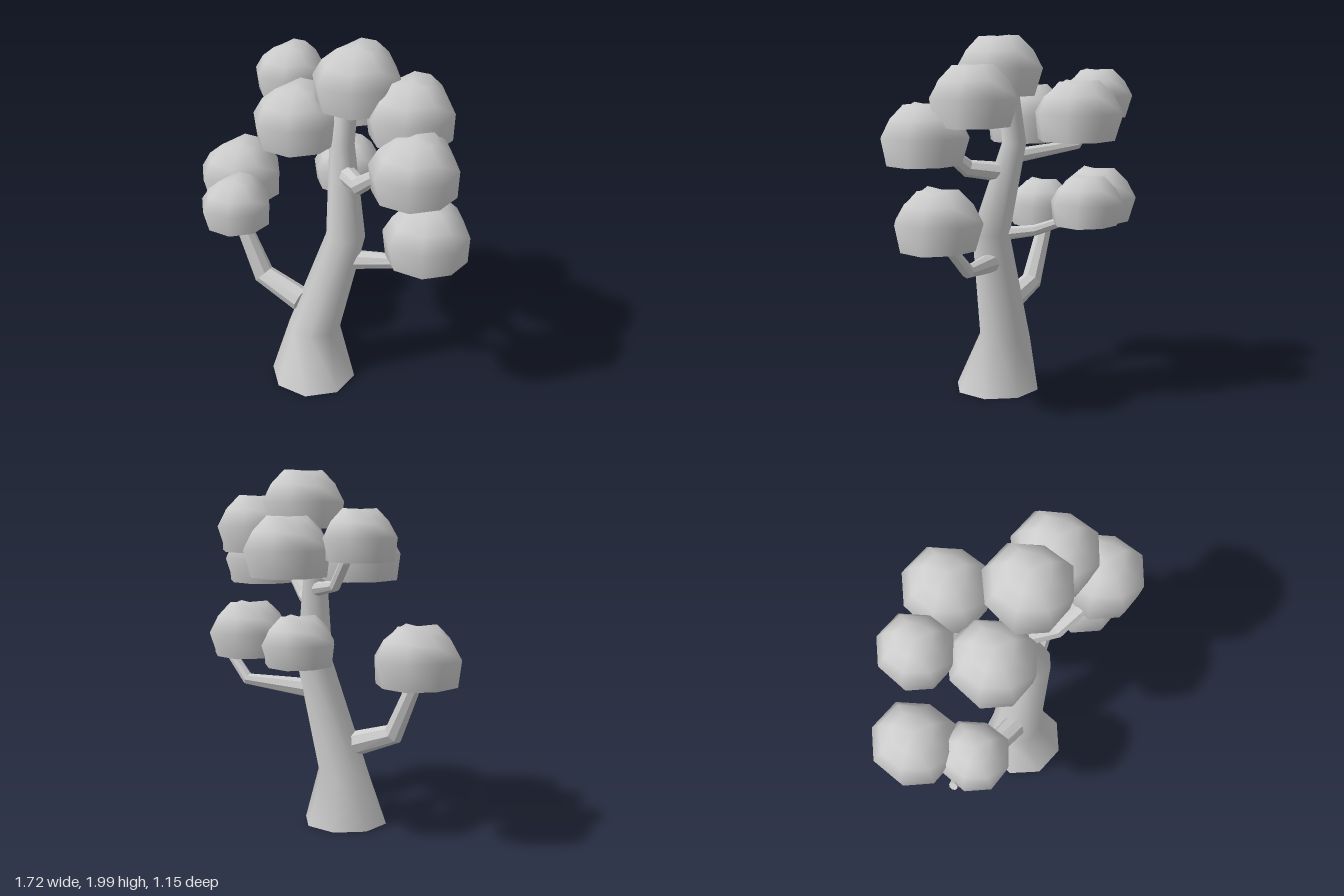
import * as THREE from 'three';

const SIDES = 8;
const V = (p) => new THREE.Vector3(...p);

// Skin a stack of rings; a ring holding a single point closes the end.
function loft(rings) {
  const pos = [], index = [], start = [];
  for (const ring of rings) {
    start.push(pos.length / 3);
    for (const p of ring) pos.push(p.x, p.y, p.z);
  }
  for (let k = 0; k < rings.length - 1; k++) {
    const at = (r, i) => start[r] + (i % rings[r].length);
    for (let i = 0; i < SIDES; i++) {
      const a = at(k, i), b = at(k + 1, i), c = at(k + 1, i + 1), d = at(k, i + 1);
      if (b !== c) index.push(a, b, c);
      if (a !== d) index.push(a, c, d);
    }
  }
  const geo = new THREE.BufferGeometry();
  geo.setAttribute('position', new THREE.Float32BufferAttribute(pos, 3));
  geo.setIndex(index);
  geo.computeVertexNormals();
  return geo;
}

// Horizontal ring with optional per-vertex radius and height variation.
function flatRing(x, y, z, r, vary = () => [1, 0]) {
  return Array.from({ length: SIDES }, (_, i) => {
    const a = (i / SIDES) * Math.PI * 2 + 0.06, [s, dy] = vary(i);
    return new THREE.Vector3(x + Math.cos(a) * r * s, y + dy, z + Math.sin(a) * r * s);
  });
}

// Tapered limb through [x, y, z, radius] stations.
function limb(stations) {
  const pts = stations.map(([x, y, z]) => V([x, y, z]));
  const last = pts.length - 1;
  const run = pts[last].clone().sub(pts[0]);
  const side = new THREE.Vector3(0, 1, 0).cross(run).normalize();
  const rings = pts.map((p, k) => {
    const t = new THREE.Vector3();
    if (k > 0) t.add(p.clone().sub(pts[k - 1]).normalize());
    if (k < last) t.add(pts[k + 1].clone().sub(p).normalize());
    t.normalize();
    const u = side.clone().addScaledVector(t, -side.dot(t)).normalize();
    const v = u.clone().cross(t);
    const r = stations[k][3];
    return Array.from({ length: SIDES }, (_, i) => {
      const a = (i / SIDES) * Math.PI * 2;
      return p.clone().addScaledVector(u, Math.cos(a) * r).addScaledVector(v, Math.sin(a) * r);
    });
  });
  return loft([[pts[0]], ...rings, [pts[last]]]);
}

// Faceted leaf dome, open underneath, with an uneven crown. Unit radius.
function leafDome() {
  const belly = [1, 0.96, 1.04, 0.97, 1, 1.03, 1.05, 0.95];
  const crown = [0.02, -0.1, 0.03, -0.06, -0.1, 0.04, 0.05, -0.05];
  return loft([
    flatRing(0.03, 0, 0, 0.87, (i) => [belly[(i + 3) % SIDES], 0]),
    flatRing(0, 0.6, 0, 1, (i) => [belly[i], 0]),
    flatRing(0, 0.98, 0, 0.79, (i) => [belly[i], crown[i] * 0.4]),
    flatRing(0, 1.27, 0, 0.47, (i) => [belly[i], crown[i]]),
    [new THREE.Vector3(0, 1.29, 0)],
  ]);
}

export function createModel() {
  const tree = new THREE.Group();
  tree.name = 'tree';
  const smooth = new THREE.MeshStandardMaterial({ color: 0xcccccc, side: THREE.DoubleSide });
  const faceted = new THREE.MeshStandardMaterial({ color: 0xcccccc, flatShading: true });
  const add = (name, geo, mat) => {
    const mesh = new THREE.Mesh(geo, mat);
    mesh.name = name;
    tree.add(mesh);
    return mesh;
  };

  // Leaning trunk with a flared foot, open at the base
  add('trunk', loft([
    flatRing(0.06, 0, 0.155, 0.24),
    flatRing(0.03, 0.31, 0.12, 0.147),
    flatRing(0.18, 0.93, 0.02, 0.107),
    flatRing(0.068, 1.42, -0.04, 0.068),
    flatRing(0.115, 1.78, -0.05, 0.052),
    [new THREE.Vector3(0.115, 1.78, -0.05)],
  ]), smooth);

  // Bent branches: x, y, z, radius
  const branches = {
    lowerRightBranch: [[-0.02, 0.47, 0.18, 0.07], [-0.25, 0.56, 0.27, 0.06], [-0.37, 0.85, 0.32, 0.045], [-0.55, 1.0, 0.455, 0.024]],
    lowerLeftBranch: [[0.2, 0.77, -0.01, 0.055], [0.48, 0.8, -0.25, 0.035], [0.6, 0.93, -0.29, 0.03], [0.65, 1.03, -0.29, 0.02]],
    upperLeftBranch: [[0.1, 1.26, -0.03, 0.055], [0.31, 1.29, 0.04, 0.048], [0.46, 1.41, 0.04, 0.035], [0.56, 1.5, 0, 0.025]],
    upperRightBranch: [[0.05, 1.35, -0.04, 0.04], [-0.28, 1.4, -0.13, 0.03], [-0.38, 1.53, -0.13, 0.028], [-0.44, 1.64, -0.1, 0.02]],
    rearBranch: [[0.14, 0.92, 0.01, 0.04], [0, 0.95, -0.14, 0.03], [-0.11, 0.99, -0.2, 0.027], [-0.22, 1.07, -0.3, 0.02]],
  };
  for (const [name, stations] of Object.entries(branches)) add(name, limb(stations), faceted);

  // Leaf clusters: x, underside y, z, radius
  const dome = leafDome();
  const clusters = [
    [0.175, 1.68, -0.05, 0.238], [0.42, 1.54, -0.2, 0.238], [0.62, 1.345, -0.055, 0.238],
    [0.61, 0.92, -0.17, 0.238], [-0.44, 1.54, -0.08, 0.202], [-0.12, 1.41, 0.12, 0.238],
    [-0.14, 1.45, -0.33, 0.238], [-0.62, 0.905, 0.155, 0.238], [-0.37, 0.885, 0.36, 0.2],
    [-0.215, 0.99, -0.31, 0.2],
  ];
  clusters.forEach(([x, y, z, r], i) => {
    const leaf = add(`leafCluster${i + 1}`, dome, smooth);
    leaf.position.set(x, y, z);
    leaf.scale.setScalar(r);
  });
  return tree;
}
